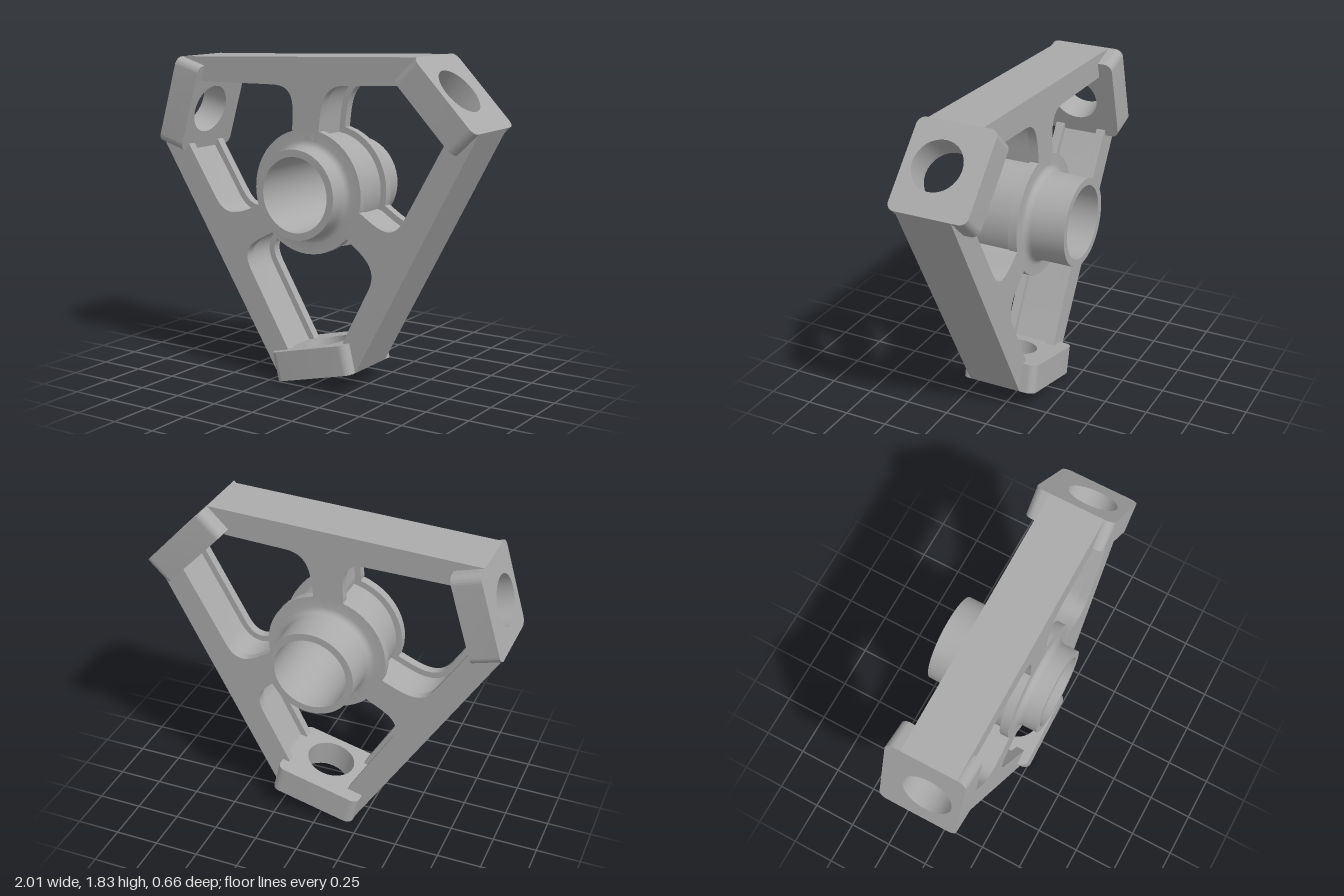
import * as THREE from 'three';
import { toCreasedNormals } from 'three/addons/utils/BufferGeometryUtils.js';

const grey = new THREE.MeshStandardMaterial({ color: 0xaaaaaa });
grey.name = 'grey metal';

const V = (x, y) => new THREE.Vector2(x, y);
const ORIGIN = V(0, 0);
const TURN = Math.PI * 2 / 3;
const BACK = -0.1, FRONT = 0.21, FLANGE = 0.05, GROOVE = 0.035;

// Ends of a pad's outer face, relative to the hub axis
const padA = V(-0.18, -1.08), padB = V(0.31, -0.96);

function part(geometry, name, crease = 0.5) {
  const mesh = new THREE.Mesh(toCreasedNormals(geometry, crease), grey);
  mesh.name = name;
  return mesh;
}

// One side of a window from pad to hub: straight run, then rounded corner, shifted by the groove depth
function windowSide(pad, bend, c1, c2, hub, offset) {
  const points = [pad];
  const curve = new THREE.CubicBezierCurve(bend, c1, c2, hub);
  points.push(...curve.getPoints(16));
  const shifted = points.map((p, i) => {
    const a = points[Math.max(i - 1, 0)], b = points[Math.min(i + 1, points.length - 1)];
    const t = b.clone().sub(a).normalize();
    return V(p.x - t.y * offset, p.y + t.x * offset);
  });
  shifted.push(shifted[shifted.length - 1].clone().setLength(0.27));
  return shifted;
}

// Outline of one outer beam with its spoke to the hub
function armShape(depth) {
  const left = windowSide(V(-0.13, -0.9), V(-0.385, -0.47), V(-0.45, -0.35), V(-0.36, -0.31), V(-0.24, -0.25), depth);
  const right = windowSide(V(0.23, -0.8), V(0.39, -0.49), V(0.45, -0.37), V(0.36, -0.31), V(0.25, -0.23), -depth)
    .map(p => p.rotateAround(ORIGIN, -TURN)).reverse();
  const end = padB.clone().rotateAround(ORIGIN, -TURN);
  return new THREE.Shape([padA.clone(), ...left, ...right, end]);
}

function slab(shape, z0, z1) {
  const g = new THREE.ExtrudeGeometry(shape, { depth: z1 - z0, bevelEnabled: false, curveSegments: 16 });
  return g.translate(0, 0, z0);
}

// Rounded mounting pad with a round hole, lying along the pad face
function padGeometry() {
  const w = padA.distanceTo(padB) / 2, h = 0.222, r = 0.045;
  const s = new THREE.Shape();
  s.moveTo(-w + r, -h);
  s.lineTo(w - r, -h);
  s.absarc(w - r, -h + r, r, -Math.PI / 2, 0);
  s.absarc(w - r, h - r, r, 0, Math.PI / 2);
  s.absarc(-w + r, h - r, r, Math.PI / 2, Math.PI);
  s.absarc(-w + r, -h + r, r, Math.PI, Math.PI * 1.5);
  s.holes.push(new THREE.Path().absarc(0.015, -0.033, 0.138, 0, Math.PI * 2, true));
  const g = slab(s, 0, 0.165);
  const d = padB.clone().sub(padA).normalize();
  const m = new THREE.Matrix4().makeBasis(
    new THREE.Vector3(d.x, d.y, 0), new THREE.Vector3(0, 0, -1), new THREE.Vector3(-d.y, d.x, 0));
  m.setPosition((padA.x + padB.x) / 2, (padA.y + padB.y) / 2, 0.04);
  return g.applyMatrix4(m);
}

// Hub: bored tube, filleted into a grooved ring
function hubGeometry() {
  const bore = 0.205, tube = 0.245, ring = 0.34, f = 0.035;
  const fillet = (z, dir) => [0, 1, 2, 3, 4].map(i => {
    const a = i / 4 * Math.PI / 2;
    return V(tube + f * (1 - Math.cos(a)), z + dir * f * (1 - Math.sin(a)));
  });
  const profile = [
    V(bore, -0.33), V(tube, -0.33), ...fillet(BACK, -1),
    V(ring, BACK), V(ring, BACK + FLANGE),
    V(ring - GROOVE, BACK + FLANGE), V(ring - GROOVE, FRONT - FLANGE),
    V(ring, FRONT - FLANGE), V(ring, FRONT),
    ...fillet(FRONT, 1).reverse(), V(tube, 0.33), V(bore, 0.33), V(bore, -0.33)
  ];
  return new THREE.LatheGeometry(profile, 48).rotateX(Math.PI / 2);
}

export function createModel() {
  const model = new THREE.Group();
  model.name = 'threeArmBracket';
  const body = new THREE.Group();
  body.name = 'body';
  body.position.set(-0.02, 1.08, 0);
  model.add(body);

  body.add(part(hubGeometry(), 'hub'));

  // Three identical arms and pads around the hub
  for (let i = 0; i < 3; i++) {
    const arm = new THREE.Group();
    arm.name = 'arm' + (i + 1);
    arm.rotation.z = i * TURN;
    arm.add(part(slab(armShape(0), FRONT - FLANGE, FRONT), 'frontFlange'));
    arm.add(part(slab(armShape(GROOVE), BACK + FLANGE, FRONT - FLANGE), 'web'));
    arm.add(part(slab(armShape(0), BACK, BACK + FLANGE), 'backFlange'));
    arm.add(part(padGeometry(), 'mountingPad'));
    body.add(arm);
  }
  return model;
}
